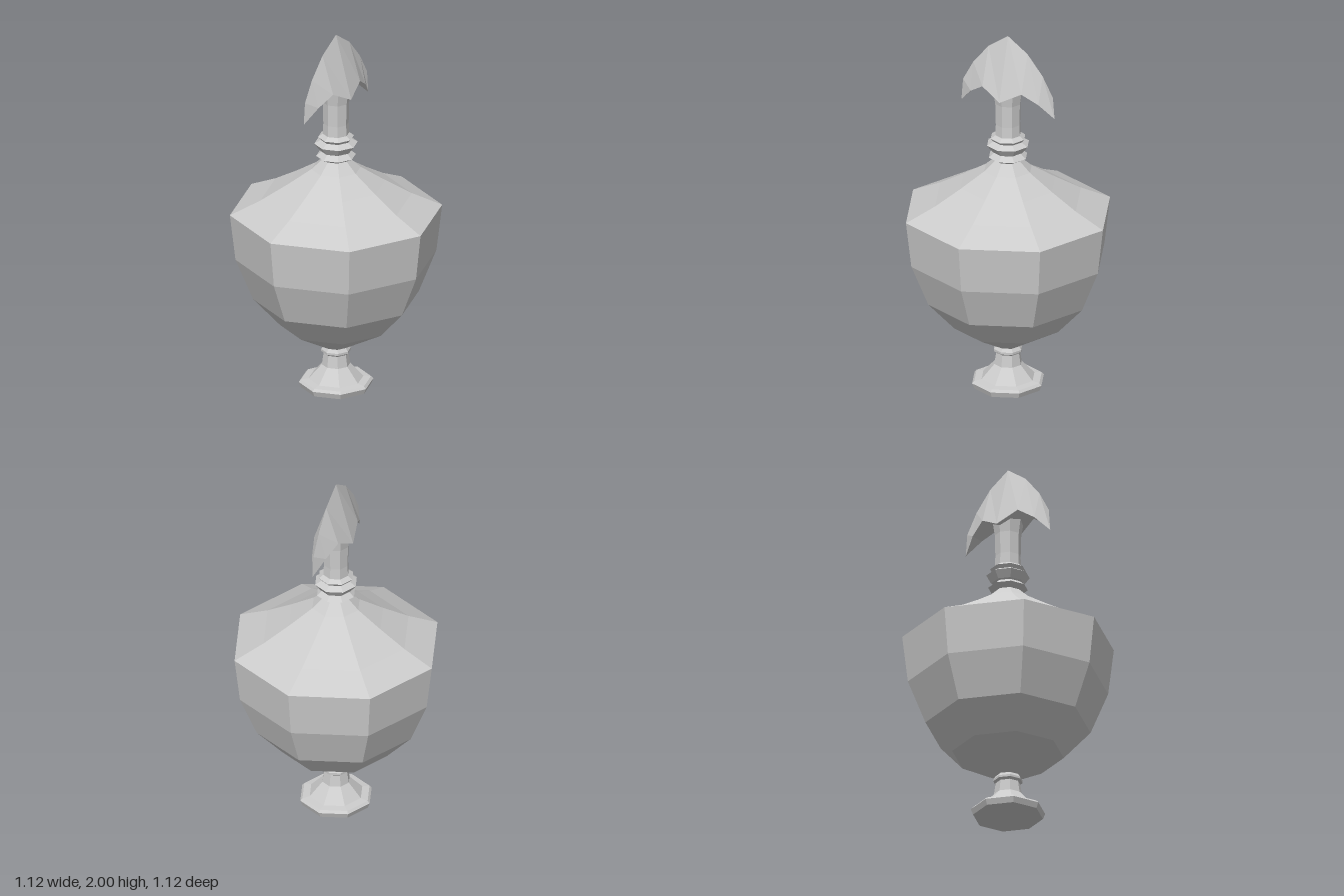
import * as THREE from 'three';

const grey = new THREE.MeshStandardMaterial({ color: 0xcccccc, flatShading: true });

// Eight-sided turned part from [radius, height] pairs, bottom to top
function turned(name, profile) {
  const points = profile.map(([r, y]) => new THREE.Vector2(r, y));
  const mesh = new THREE.Mesh(new THREE.LatheGeometry(points, 8), grey);
  mesh.name = name;
  return mesh;
}

// Wedge-shaped crest: each section is a triangle with a sharp top edge and a flat underside
function crest() {
  // [top x, top y, bottom x, bottom y, bottom half depth]
  const half = [
    [0, 2, 0, 1.655, 0.1],
    [0.115, 1.92, 0.115, 1.715, 0.07],
    [0.205, 1.81, 0.2, 1.66, 0.04],
    [0.265, 1.7, 0.275, 1.58, 0],
  ];
  const mirrored = half.slice(1).reverse().map(([a, b, c, d, e]) => [-a, b, -c, d, e]);
  const sections = [...mirrored, ...half];
  const position = [];
  const index = [];
  for (const [tx, ty, bx, by, z] of sections) position.push(tx, ty, 0, bx, by, z, bx, by, -z);
  for (let i = 0; i < sections.length - 1; i++) {
    for (let k = 0; k < 3; k++) {
      const a = i * 3 + k, b = i * 3 + (k + 1) % 3;
      index.push(a, b, b + 3, a, b + 3, a + 3);
    }
  }
  const geometry = new THREE.BufferGeometry();
  geometry.setAttribute('position', new THREE.Float32BufferAttribute(position, 3));
  geometry.setIndex(index);
  geometry.computeVertexNormals();
  const mesh = new THREE.Mesh(geometry, grey);
  mesh.name = 'crest';
  return mesh;
}

export function createModel() {
  const model = new THREE.Group();
  model.name = 'urn';
  model.add(
    turned('foot', [
      [0, 0], [0.185, 0], [0.197, 0.03], [0.185, 0.043], [0.145, 0.048], [0.075, 0.125],
      [0.065, 0.19], [0.078, 0.2], [0.078, 0.212], [0.065, 0.23],
    ]),
    turned('bowl', [[0, 0.225], [0.065, 0.23], [0.295, 0.36], [0.437, 0.515], [0.53, 0.745], [0.56, 1]]),
    turned('shoulder', [[0.56, 1], [0.4, 1.075], [0.26, 1.157], [0.13, 1.24], [0.07, 1.295]]),
    turned('neckRings', [
      [0.07, 1.295], [0.105, 1.315], [0.075, 1.34], [0.085, 1.345], [0.115, 1.385],
      [0.08, 1.405], [0.095, 1.422], [0.07, 1.44],
    ]),
    turned('stem', [[0.07, 1.44], [0.067, 1.5], [0.07, 1.62], [0.082, 1.7], [0, 1.7]]),
    crest(),
  );
  return model;
}
